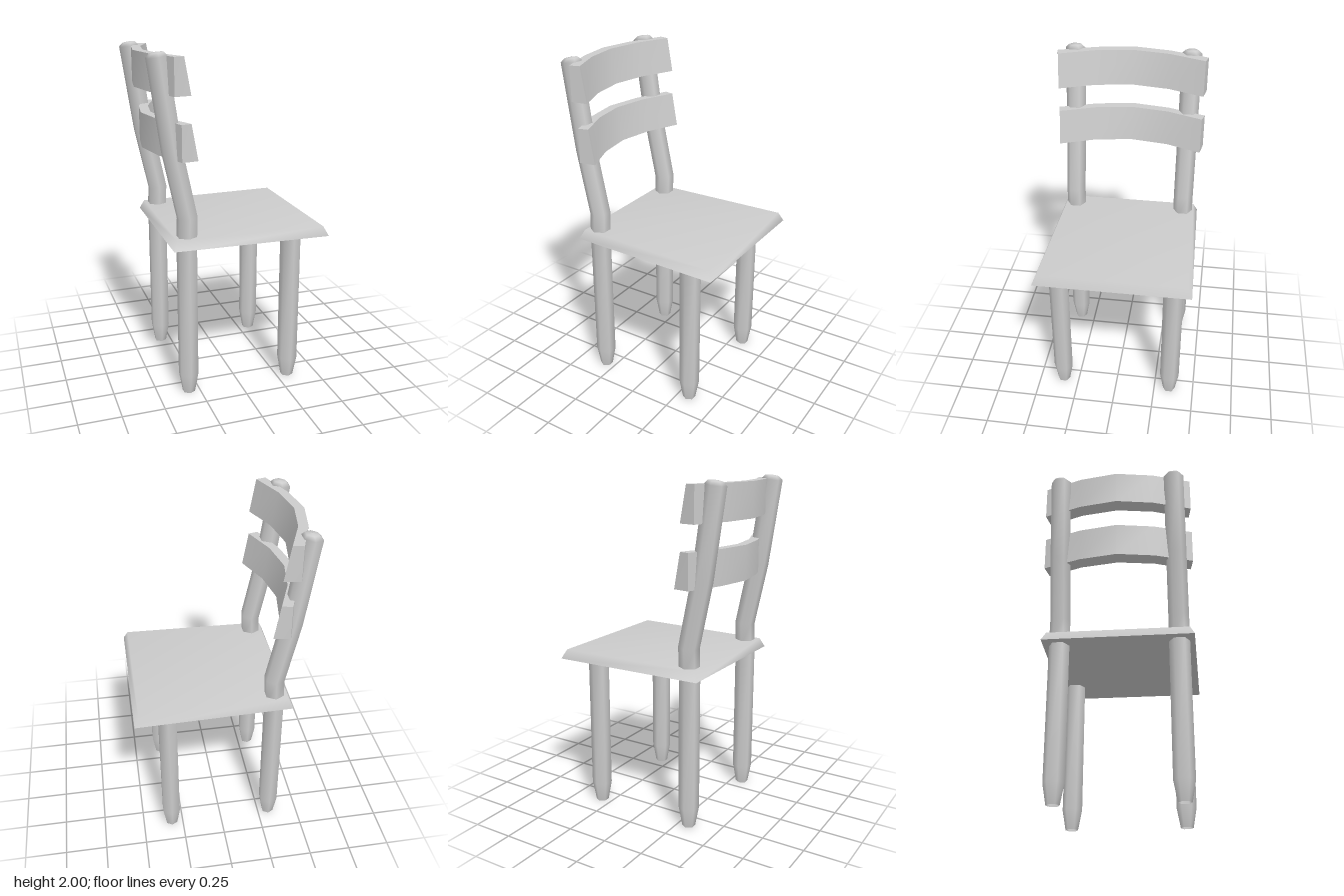
import * as THREE from 'three';
import { mergeVertices, toCreasedNormals } from 'three/addons/utils/BufferGeometryUtils.js';

const material = new THREE.MeshStandardMaterial({ color: 0xcccccc, side: THREE.DoubleSide });

function addMesh(parent, name, geometry, x = 0, y = 0, z = 0) {
  const mesh = new THREE.Mesh(geometry, material);
  mesh.name = name;
  mesh.position.set(x, y, z);
  parent.add(mesh);
  return mesh;
}

// Six-sided post following rings of [x, y, radius, tilt], listed from the top down.
// Tilt lowers the ring towards -x.
function postGeometry(rings) {
  const geo = new THREE.CylinderGeometry(1, 1, 1, 6, rings.length - 1, true);
  const pos = geo.attributes.position;
  for (let i = 0; i < pos.count; i++) {
    const [x, y, r, tilt = 0] = rings[Math.round((0.5 - pos.getY(i)) * (rings.length - 1))];
    const dx = pos.getX(i) * r;
    pos.setXYZ(i, x + dx, y + dx * tilt, pos.getZ(i) * r);
  }
  geo.deleteAttribute('uv');
  geo.deleteAttribute('normal');
  const merged = mergeVertices(geo, 1e-4);
  merged.computeVertexNormals();
  return merged;
}

// Curved back slat: upright rear face, sloping front face that thickens downwards.
function slatGeometry(height) {
  const backCurve = [[-0.395, 0.445], [-0.475, 0.22], [-0.512, 0]];
  const frontCurve = [[-0.337, 0.43], [-0.42, 0.22], [-0.455, 0]];
  const geo = new THREE.BoxGeometry(1, 1, 1, 1, 1, 4);
  const pos = geo.attributes.position;
  for (let i = 0; i < pos.count; i++) {
    const front = pos.getX(i) > 0;
    const top = pos.getY(i) > 0;
    const z = pos.getZ(i);
    const step = 2 - Math.round(Math.abs(z) * 4);
    const [cx, cz] = (front ? frontCurve : backCurve)[step];
    pos.setXYZ(i, cx + (front && !top ? 0.036 : 0), top ? height : 0, Math.sign(z) * cz);
  }
  return toCreasedNormals(geo, 0.5);
}

// Tapered seat board: bevelled rim shaded softly into the top, flat underside.
function seatGeometry() {
  const lower = [[-0.41, 0.435], [0.515, 0.46], [0.515, -0.46], [-0.41, -0.435]];
  const upper = [[-0.385, 0.41], [0.488, 0.435], [0.488, -0.435], [-0.385, -0.41]];
  const points = [];
  lower.forEach(([x, z]) => points.push(x, 0, z));
  upper.forEach(([x, z]) => points.push(x, 0.055, z));
  lower.forEach(([x, z]) => points.push(x, 0, z));
  const index = [4, 5, 6, 4, 6, 7, 8, 10, 9, 8, 11, 10];
  for (let i = 0; i < 4; i++) {
    const j = (i + 1) % 4;
    index.push(i, j, j + 4, i, j + 4, i + 4);
  }
  const geo = new THREE.BufferGeometry();
  geo.setAttribute('position', new THREE.Float32BufferAttribute(points, 3));
  geo.setIndex(index);
  geo.computeVertexNormals();
  return geo;
}

export function createModel() {
  const chair = new THREE.Group();
  chair.name = 'chair';

  addMesh(chair, 'seat', seatGeometry(), 0, 0.925, 0);

  // Legs: the rear pair carries on upwards as the bent back posts.
  const frontLeg = postGeometry([[0.32, 0.94, 0.06], [0.32, 0.12, 0.06], [0.32, 0, 0.038]]);
  const rearPost = postGeometry([
    [-0.458, 2.0, 0.0005],
    [-0.46, 1.995, 0.04, 0.12],
    [-0.463, 1.975, 0.06, 0.15],
    [-0.39, 1.47, 0.06, 0.18],
    [-0.31, 1.09, 0.06, 0.12],
    [-0.315, 0.95, 0.06],
    [-0.315, 0.12, 0.06],
    [-0.315, 0, 0.038],
  ]);
  for (const [side, z] of [['left', -0.345], ['right', 0.348]]) {
    addMesh(chair, `${side}FrontLeg`, frontLeg, 0, 0, z);
    addMesh(chair, `${side}BackPost`, rearPost, 0, 0, z);
  }

  // Back slats, the lower one set slightly forward.
  const slat = slatGeometry(0.203);
  addMesh(chair, 'upperSlat', slat, 0, 1.777, 0);
  addMesh(chair, 'lowerSlat', slat, 0.035, 1.427, 0);

  return chair;
}
